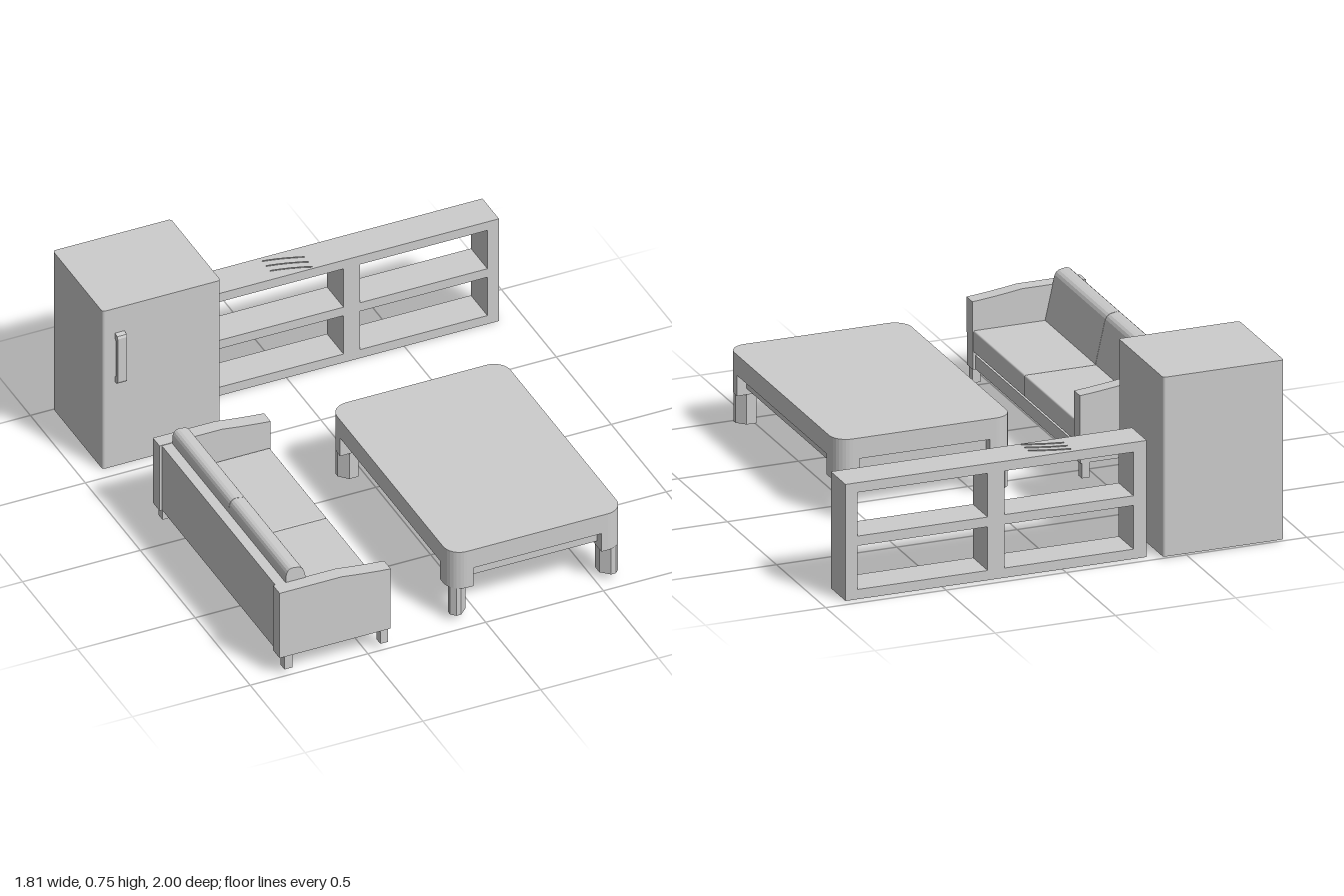
import * as THREE from 'three';
import { RoundedBoxGeometry } from 'three/addons/geometries/RoundedBoxGeometry.js';

const grey = new THREE.MeshStandardMaterial({ color: 0xcccccc });
grey.name = 'light grey';

function add(parent, name, geometry) {
  const mesh = new THREE.Mesh(geometry, grey);
  mesh.name = name;
  parent.add(mesh);
}

function group(parent, name) {
  const g = new THREE.Group();
  g.name = name;
  parent.add(g);
  return g;
}

// Box given by its limits, optionally with rounded edges
function box(parent, name, [x0, x1], [y0, y1], [z0, z1], r = 0) {
  const size = [x1 - x0, y1 - y0, z1 - z0];
  const geo = r ? new RoundedBoxGeometry(...size, 2, r) : new THREE.BoxGeometry(...size);
  add(parent, name, geo.translate((x0 + x1) / 2, (y0 + y1) / 2, (z0 + z1) / 2));
}

const points = list => list.map(p => new THREE.Vector2(...p));

// Flat-faceted extrusion along z
function extrude(shape, depth) {
  return new THREE.ExtrudeGeometry(shape, { depth, bevelEnabled: false, curveSegments: 4 });
}

// Shape in plan, raised from y0 to y1
function upright(shape, y0, y1) {
  return extrude(shape, y1 - y0).rotateX(-Math.PI / 2).translate(0, y0, 0);
}

// Rectangle with rounded corners, centred on the origin
function roundedRect(w, d, r) {
  const s = new THREE.Shape();
  const x = w / 2 - r, y = d / 2 - r;
  s.absarc(x, y, r, 0, Math.PI / 2);
  s.absarc(-x, y, r, Math.PI / 2, Math.PI);
  s.absarc(-x, -y, r, Math.PI, Math.PI * 1.5);
  s.absarc(x, -y, r, Math.PI * 1.5, Math.PI * 2);
  s.closePath();
  return s;
}

function buildFridge(parent) {
  const fridge = group(parent, 'fridge');
  const body = upright(roundedRect(0.502, 0.453, 0.012), 0.006, 0.745);
  add(fridge, 'fridgeBody', body.translate(-0.654, 0, -0.7735));
  // Bracket handle with sloping ends, drawn from the side and turned to the front
  const bracket = new THREE.Shape(points([
    [0.55, 0.4], [0.55, 0.425], [0.54, 0.43], [0.54, 0.6], [0.55, 0.605],
    [0.55, 0.63], [0.527, 0.625], [0.522, 0.615], [0.522, 0.415], [0.527, 0.405],
  ]));
  const handle = extrude(bracket, 0.04).rotateY(Math.PI / 2).translate(-0.852, 0, 0);
  add(fridge, 'fridgeHandle', handle);
}

function buildShelf(parent) {
  const shelf = group(parent, 'shelf');
  const s = new THREE.Shape(points([[-0.35, 0], [0.902, 0], [0.902, 0.48], [-0.35, 0.48]]));
  // Four open compartments
  for (const [x0, x1] of [[-0.295, 0.242], [0.311, 0.853]]) {
    for (const [y0, y1] of [[0.04, 0.22], [0.26, 0.44]]) {
      s.holes.push(new THREE.Path(points([[x0, y0], [x0, y1], [x1, y1], [x1, y0]])));
    }
  }
  add(shelf, 'shelfFrame', extrude(s, 0.15).translate(0, 0, -0.962));
  // Thin curved strips lying on top
  for (let i = 0; i < 3; i++) {
    const z = -0.938 + i * 0.036;
    const curve = new THREE.QuadraticBezierCurve3(
      new THREE.Vector3(-0.045, 0, z),
      new THREE.Vector3(0.04, 0, z + 0.014),
      new THREE.Vector3(0.115, 0, z + 0.044));
    add(shelf, 'topStrip', new THREE.TubeGeometry(curve, 8, 0.0025, 5).translate(0, 0.482, 0));
  }
}

function buildTable(parent) {
  const table = group(parent, 'table');
  table.position.set(0.2385, 0, 0.408);
  const w = 0.737, d = 1.104;
  add(table, 'tableTop', upright(roundedRect(w, d, 0.07), 0.24, 0.325));
  box(table, 'apron', [-w / 2 + 0.04, w / 2 - 0.04], [0.18, 0.245], [-d / 2 + 0.04, d / 2 - 0.04]);

  // Corner block, its outer corner rounded like the top
  const blockPlan = new THREE.Shape();
  blockPlan.moveTo(-0.097, -0.097);
  blockPlan.lineTo(0, -0.097);
  blockPlan.absarc(-0.07, -0.07, 0.07, 0, Math.PI / 2);
  blockPlan.lineTo(-0.097, 0);
  blockPlan.closePath();
  // Foot with its two side corners cut away
  const footPlan = new THREE.Shape(points([
    [-0.085, -0.085], [-0.045, -0.085], [-0.012, -0.05], [-0.012, -0.03],
    [-0.03, -0.012], [-0.05, -0.012], [-0.085, -0.045],
  ]));
  const block = upright(blockPlan, 0.155, 0.24);
  const foot = upright(footPlan, 0.027, 0.155);
  [[1, -1], [-1, -1], [-1, 1], [1, 1]].forEach(([sx, sz], i) => {
    const leg = group(table, 'tableLeg');
    leg.position.set(sx * w / 2, 0, sz * d / 2);
    leg.rotation.y = i * Math.PI / 2;
    add(leg, 'legBlock', block);
    add(leg, 'legFoot', foot);
  });
}

function buildSofa(parent) {
  const sofa = group(parent, 'sofa');
  // Arms with a gently falling top
  const arm = new THREE.Shape();
  arm.moveTo(-0.875, 0.09);
  arm.lineTo(-0.405, 0.09);
  arm.lineTo(-0.403, 0.37);
  arm.quadraticCurveTo(-0.5, 0.378, -0.61, 0.394);
  arm.lineTo(-0.875, 0.394);
  arm.closePath();
  for (const z of [-0.153, 0.94]) {
    add(sofa, 'arm', extrude(arm, 0.06).translate(0, 0, z));
  }

  box(sofa, 'base', [-0.865, -0.415], [0.092, 0.148], [-0.1, 0.945]);
  box(sofa, 'seatSupport', [-0.85, -0.425], [0.14, 0.175], [-0.1, 0.945]);
  box(sofa, 'backPanel', [-0.865, -0.82], [0.092, 0.392], [-0.1, 0.945]);

  // Leaning back cushions with a rounded top
  const back = new THREE.Shape();
  back.moveTo(-0.822, 0.16);
  back.lineTo(-0.69, 0.16);
  back.lineTo(-0.705, 0.25);
  back.lineTo(-0.742, 0.415);
  back.quadraticCurveTo(-0.748, 0.45, -0.775, 0.452);
  back.lineTo(-0.795, 0.455);
  back.quadraticCurveTo(-0.82, 0.452, -0.822, 0.42);
  back.closePath();
  for (const z of [-0.09, 0.428]) {
    add(sofa, 'backCushion', extrude(back, 0.516).translate(0, 0, z));
    box(sofa, 'seatCushion', [-0.74, -0.408], [0.16, 0.25], [z - 0.001, z + 0.517], 0.006);
  }

  for (const x of [-0.852, -0.445]) {
    for (const z of [-0.15, 0.96]) {
      box(sofa, 'sofaLeg', [x, x + 0.033], [0.027, 0.095], [z, z + 0.035]);
    }
  }
}

export function createModel() {
  const model = new THREE.Group();
  model.name = 'furnitureSet';
  buildFridge(model);
  buildShelf(model);
  buildTable(model);
  buildSofa(model);
  return model;
}
